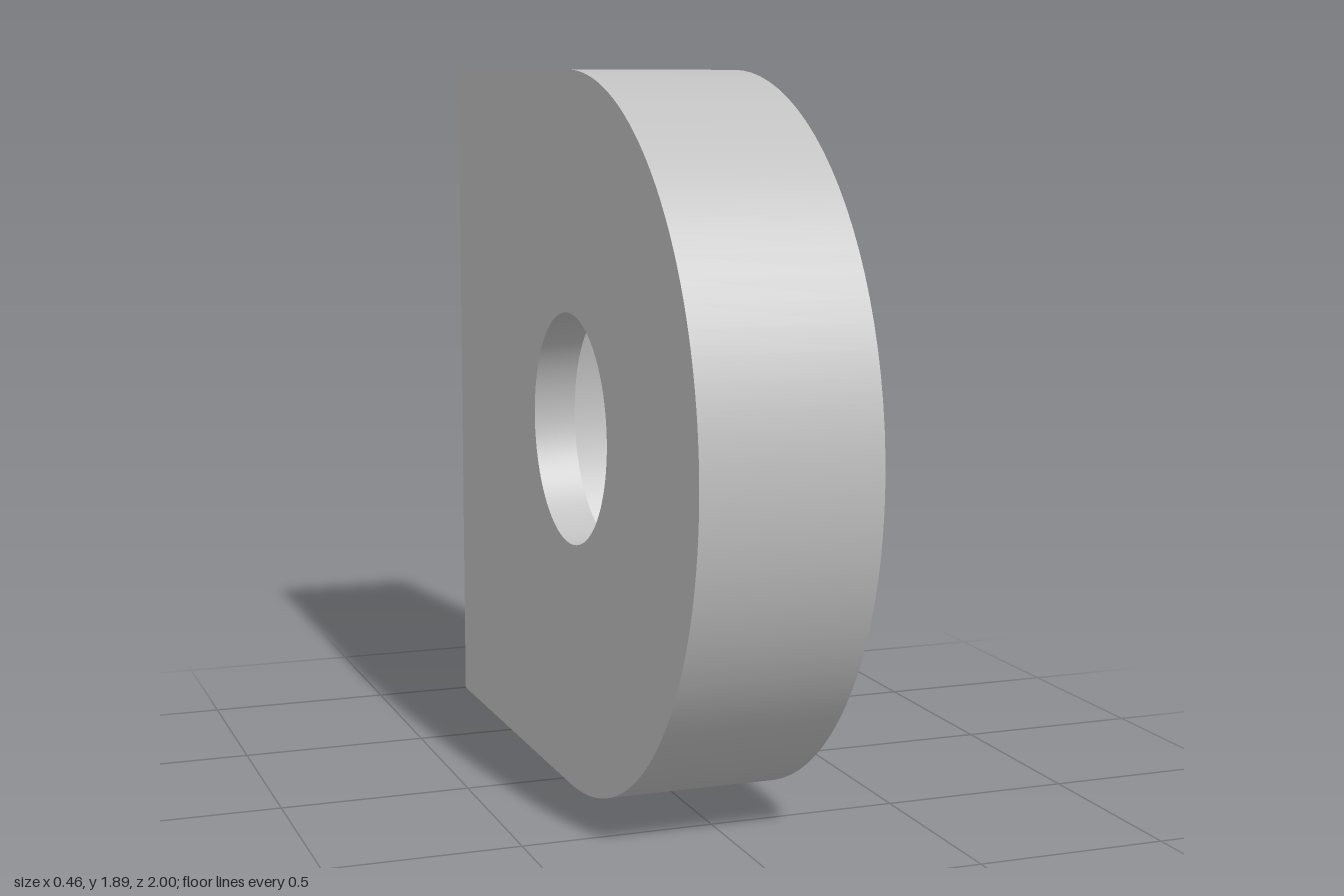
import * as THREE from 'three';
import { toCreasedNormals } from 'three/addons/utils/BufferGeometryUtils.js';

const W = 0.46;                       // plate thickness along x
const R = 0.946;                      // radius of the rounded front end
const CZ = 1 - R;                     // z of the rounded end's centre
const L = 1 + CZ;                     // length of the straight part
const HOLE = { y: 0.962, z: 0.057, bore: 0.64, through: 0.305, floor: -0.115 };
const SEG = 96;

// D-shaped outline with a round hole; dir is the shape axis direction along z
function faceGeometry(dir, holeRadius) {
  const s = new THREE.Shape();
  s.moveTo(-dir, 0);
  s.lineTo(dir * CZ, 0);
  s.absarc(dir * CZ, R, R, -Math.PI / 2, Math.PI / 2, dir < 0);
  s.lineTo(-dir, 2 * R);
  s.closePath();
  const hole = new THREE.Path();
  hole.absarc(dir * HOLE.z, HOLE.y, holeRadius, 0, Math.PI * 2, true);
  s.holes.push(hole);
  return new THREE.ShapeGeometry(s, SEG / 2);
}

export function createModel() {
  const group = new THREE.Group();
  group.name = 'counterboredPlate';
  const grey = new THREE.MeshStandardMaterial({ color: 0xc0c0c0 });
  grey.name = 'light grey';

  const add = (name, geometry) => {
    const mesh = new THREE.Mesh(geometry, grey);
    mesh.name = name;
    group.add(mesh);
  };

  // Flat faces: the left one opens to the wide bore, the right one to the narrow hole
  add('leftFace', faceGeometry(-1, HOLE.bore).rotateY(Math.PI / 2).translate(W / 2, 0, 0));
  add('rightFace', faceGeometry(1, HOLE.through).rotateY(-Math.PI / 2).translate(-W / 2, 0, 0));

  // Rounded front edge
  add('roundedEdge', new THREE.CylinderGeometry(R, R, W, SEG / 2, 1, true, -Math.PI / 2, Math.PI)
    .rotateZ(-Math.PI / 2).translate(0, R, CZ));

  // Straight edges
  const midZ = (CZ - 1) / 2;
  add('topEdge', new THREE.PlaneGeometry(W, L).rotateX(-Math.PI / 2).translate(0, 2 * R, midZ));
  add('bottomEdge', new THREE.PlaneGeometry(W, L).rotateX(Math.PI / 2).translate(0, 0, midZ));
  add('backEdge', new THREE.PlaneGeometry(W, 2 * R).rotateY(Math.PI).translate(0, R, -1));

  // Stepped bore: wide wall, flat floor, narrow wall
  const profile = [
    [HOLE.bore, W / 2], [HOLE.bore, HOLE.floor],
    [HOLE.through, HOLE.floor], [HOLE.through, -W / 2],
  ].map(([r, h]) => new THREE.Vector2(r, h));
  add('steppedBore', toCreasedNormals(new THREE.LatheGeometry(profile, SEG), 0.6)
    .rotateZ(-Math.PI / 2).translate(0, HOLE.y, HOLE.z));

  return group;
}
